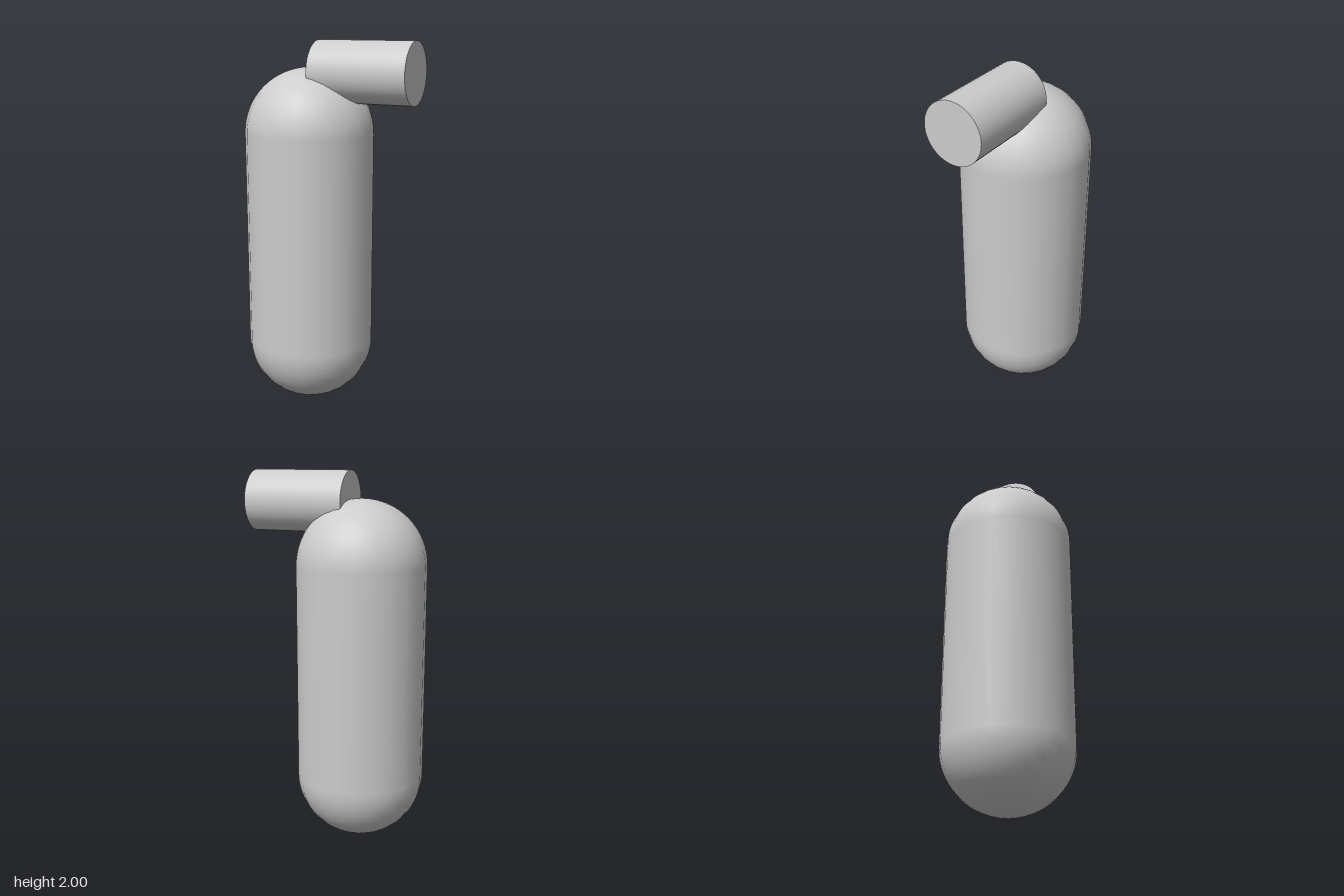
import * as THREE from 'three';

export function createModel() {
  const model = new THREE.Group();
  const grey = new THREE.MeshStandardMaterial({ color: 0xcccccc });
  grey.name = 'light grey';

  // Upright rounded body
  const radius = 0.348, height = 1.856;
  const body = new THREE.Mesh(
    new THREE.CapsuleGeometry(radius, height - 2 * radius, 16, 24), grey);
  body.name = 'body';
  body.position.set(-0.125, height / 2, 0);
  model.add(body);

  // Horizontal barrel at the top, reaching out to the left
  const barrel = new THREE.Mesh(
    new THREE.CylinderGeometry(0.163, 0.163, 0.537, 48), grey);
  barrel.name = 'barrel';
  barrel.rotation.z = -Math.PI / 2;
  barrel.position.set(0.2045, 1.837, 0);
  model.add(barrel);

  return model;
}
